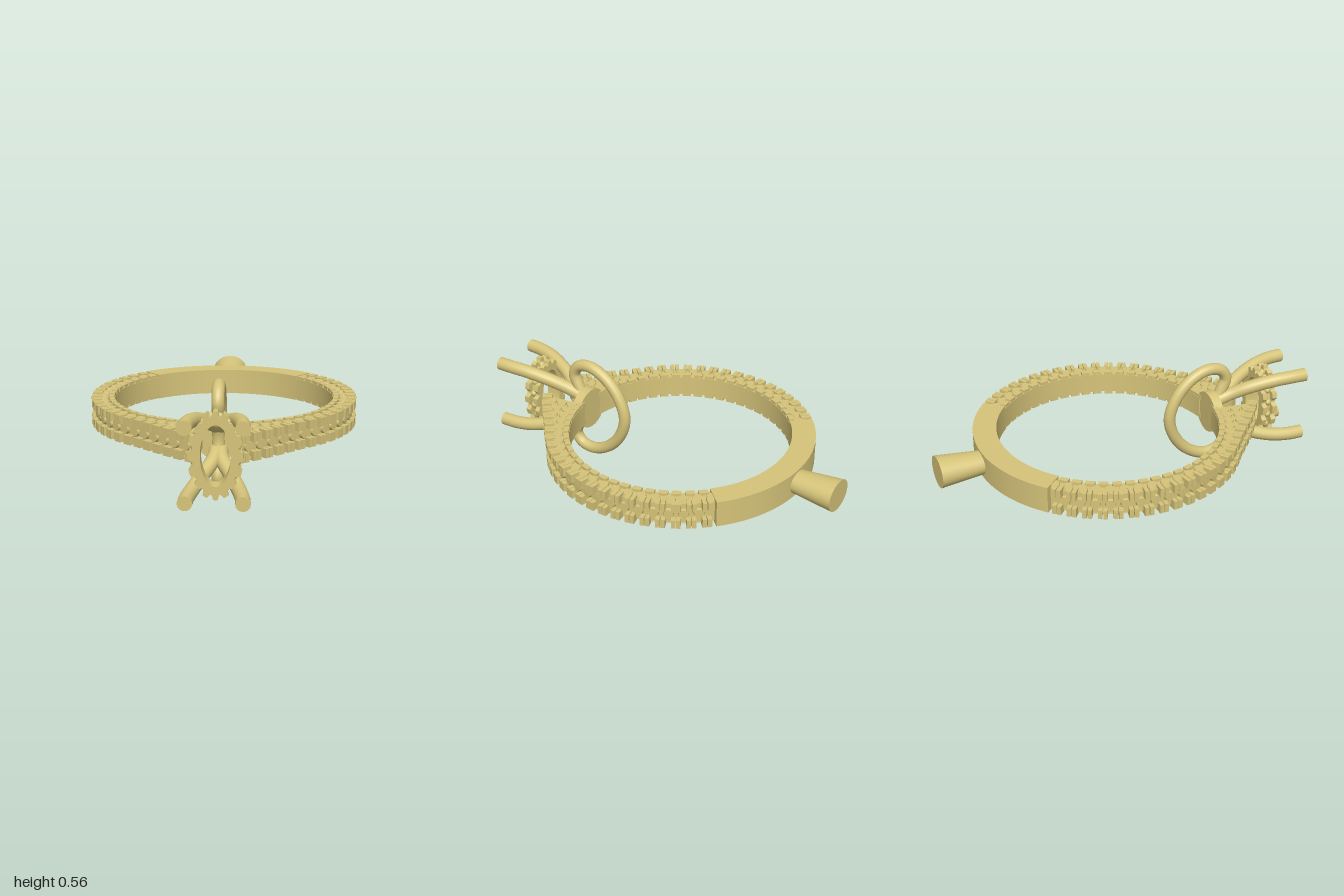
import * as THREE from 'three';
import { mergeGeometries, toCreasedNormals } from 'three/addons/utils/BufferGeometryUtils.js';

const MID = 0.287, CZ = -0.09, INNER = 0.57, OUTER = 0.69, HALF = 0.068;
const rad = THREE.MathUtils.degToRad;

// outer radius of the band: flares towards the setting (t = degrees from the front)
const outerAt = t => OUTER + 0.137 * Math.pow(Math.max(0, (38 - t) / 31), 1.7);
// point on the band plane, x and z
const polar = (r, t) => new THREE.Vector2(r * Math.sin(rad(t)), CZ + r * Math.cos(rad(t)));

// flat ring sector between two radius rules, lying in the xz plane
function sector(t0, t1, rIn, rOut, half) {
  const pts = [], n = 48;
  for (let i = 0; i <= n; i++) { const t = t0 + (t1 - t0) * i / n; pts.push(polar(rOut(t), t)); }
  for (let i = n; i >= 0; i--) { const t = t0 + (t1 - t0) * i / n; pts.push(polar(rIn(t), t)); }
  const g = new THREE.ExtrudeGeometry(new THREE.Shape(pts), { depth: 2 * half, bevelEnabled: false });
  g.rotateX(Math.PI / 2).translate(0, MID + half, 0);
  return toCreasedNormals(g, 0.5);
}

// scalloped oval plate with an oval opening
function ovalPlate(rx, ry, notch, depth, z) {
  const pts = [], n = 224;
  for (let i = 0; i < n; i++) {
    const a = i / n * Math.PI * 2;
    const cut = notch * Math.sqrt(Math.max(0, Math.cos(16 * a + Math.PI)));
    pts.push(new THREE.Vector2((rx - cut) * Math.cos(a), (ry - cut) * Math.sin(a)));
  }
  const shape = new THREE.Shape(pts);
  shape.holes.push(new THREE.Path().absellipse(0, 0, 0.07, 0.145, 0, Math.PI * 2));
  const g = new THREE.ExtrudeGeometry(shape, { depth, bevelEnabled: false, curveSegments: 32 });
  return toCreasedNormals(g.translate(0, MID, z), 0.5);
}

export function createModel() {
  const root = new THREE.Group();
  const gold = new THREE.MeshStandardMaterial({ color: 0xd6c47a });
  const add = (name, geometry) => {
    const m = new THREE.Mesh(geometry, gold);
    m.name = name;
    root.add(m);
    return m;
  };

  // plain rear part of the band
  add('plainShank', sector(138, 222, () => INNER, () => OUTER, HALF));

  // casting stem, an oval taper
  const stem = new THREE.CylinderGeometry(0.095, 0.068, 0.24, 40);
  stem.rotateX(-Math.PI / 2).scale(1, 0.82, 1).translate(0, MID, -0.88);
  add('stem', stem);

  // two studded shoulders
  for (const s of [1, -1]) {
    const side = s > 0 ? 'left' : 'right';
    const t = [7, 138].map(a => a * s);
    add(side + 'ShoulderCore',
      sector(t[0], t[1], () => INNER, a => outerAt(Math.abs(a)) - 0.032, 0.052));

    const studs = [], seats = [];
    const put = (list, g, r, y, angle, turn) => {
      const p = polar(r, angle * s);
      list.push(g.rotateY(turn * s).translate(p.x, MID + y, p.y));
    };
    for (let a = 8.5; a < 137;) {
      const r = outerAt(a);
      const slope = (outerAt(a + 0.5) - outerAt(a - 0.5)) / rad(1);
      const turn = rad(a) - Math.atan2(slope, r);
      const step = THREE.MathUtils.radToDeg(0.075 / Math.hypot(r, slope));
      const mid = a + step / 2, rm = outerAt(mid);
      for (const v of [1, -1]) {
        // paired corner claws on the outer edge
        for (const k of [-1, 1]) {
          const claw = new THREE.BoxGeometry(0.021, 0.045, 0.052).translate(k * 0.0125, 0, 0);
          put(studs, claw, r - 0.026, v * (HALF - 0.0225), a, turn);
        }
        // claws along the inner edge
        put(studs, new THREE.BoxGeometry(0.046, 0.03, 0.028), INNER + 0.0155, v * (HALF - 0.016), a, rad(a));
        // round seats on the top and bottom faces, filling the flare in rows
        for (let q = INNER + 0.056; q < rm - 0.04; q += 0.06)
          put(seats, new THREE.CylinderGeometry(0.024, 0.028, 0.014, 14), q, v * 0.056, mid, 0);
      }
      // round seats in the outer channel
      if (mid < 136)
        put(seats, new THREE.CylinderGeometry(0.023, 0.027, 0.016, 14).rotateX(Math.PI / 2), rm - 0.027, 0, mid, turn);
      a += step;
    }
    add(side + 'ShoulderClaws', mergeGeometries(studs));
    add(side + 'ShoulderSeats', mergeGeometries(seats));
  }

  // round base of the setting inside the band
  add('settingBase', new THREE.CylinderGeometry(0.11, 0.11, 0.05, 40)
    .rotateX(Math.PI / 2).translate(0, MID, 0.507));

  // four curved claws of the setting
  for (const sx of [1, -1]) for (const sy of [1, -1]) {
    const path = new THREE.CatmullRomCurve3([
      [0.01, 0.05, 0.5], [0.02, 0.085, 0.6], [0.065, 0.13, 0.7],
      [0.105, 0.162, 0.82], [0.125, 0.172, 0.92], [0.13, 0.173, 1],
    ].map(([x, y, z]) => new THREE.Vector3(x * sx, MID + y * sy, z)));
    add('settingClaw', new THREE.TubeGeometry(path, 32, 0.035, 16));
    const cap = add('settingClawTip', new THREE.CircleGeometry(0.035, 16));
    cap.position.set(0.13 * sx, MID + 0.173 * sy, 1);
  }

  // oval gallery: two scalloped plates around a slimmer core
  add('galleryFront', ovalPlate(0.128, 0.208, 0.022, 0.028, 0.815));
  add('galleryCore', ovalPlate(0.1, 0.18, 0, 0.04, 0.78));
  add('galleryRear', ovalPlate(0.122, 0.202, 0.022, 0.026, 0.762));
  const beads = [];
  for (let i = 0; i < 16; i++) {
    const a = (i + 0.5) / 16 * Math.PI * 2;
    beads.push(new THREE.SphereGeometry(0.018, 10, 8)
      .translate(0.1 * Math.cos(a), MID + 0.18 * Math.sin(a), 0.802));
  }
  add('galleryBeads', mergeGeometries(beads));

  // upright heart-shaped loop through the setting base
  const half = [[0.53, 0.04], [0.565, 0.11], [0.592, 0.18], [0.56, 0.232],
    [0.48, 0.248], [0.38, 0.205], [0.3, 0.115]];
  const loop = [
    ...half, [0.265, 0], ...half.slice().reverse().map(([z, y]) => [z, -y]),
  ].map(([z, y]) => new THREE.Vector3(0, MID + y, z));
  add('loop', new THREE.TubeGeometry(new THREE.CatmullRomCurve3(loop, true), 96, 0.031, 16, true));

  return root;
}
